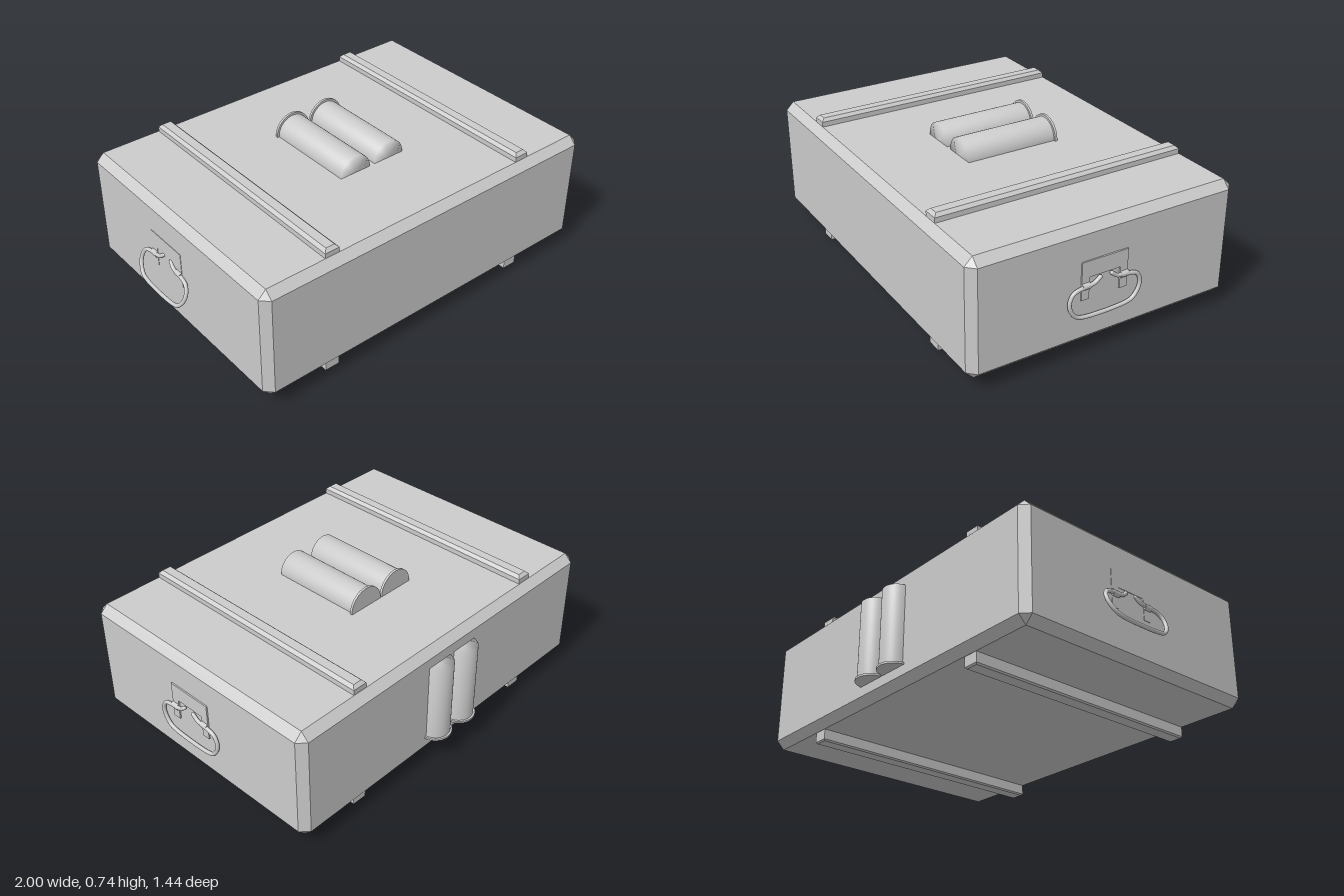
import * as THREE from 'three';
import { ConvexGeometry } from 'three/addons/geometries/ConvexGeometry.js';

const material = new THREE.MeshStandardMaterial({ color: 0xcccccc, side: THREE.DoubleSide });

function add(parent, name, geometry, x = 0, y = 0, z = 0) {
  const mesh = new THREE.Mesh(geometry, material);
  mesh.name = name;
  mesh.position.set(x, y, z);
  parent.add(mesh);
  return mesh;
}

// Box with all twelve edges chamfered by c
function chamferedBox(w, h, d, c) {
  const points = [];
  for (const sx of [-1, 1]) for (const sy of [-1, 1]) for (const sz of [-1, 1]) {
    const x = w / 2, y = h / 2, z = d / 2;
    points.push(
      new THREE.Vector3(sx * x, sy * (y - c), sz * (z - c)),
      new THREE.Vector3(sx * (x - c), sy * y, sz * (z - c)),
      new THREE.Vector3(sx * (x - c), sy * (y - c), sz * z));
  }
  return new ConvexGeometry(points);
}

// Bar standing on y = 0 whose upper rim is chamfered by c
function battenGeometry(w, h, d, c) {
  const points = [];
  for (const [y, inset] of [[0, 0], [h - c, 0], [h, c]])
    for (const sx of [-1, 1]) for (const sz of [-1, 1])
      points.push(new THREE.Vector3(sx * (w / 2 - inset), y, sz * (d / 2 - inset)));
  return new ConvexGeometry(points);
}

// Two half-sunk tubes side by side, each with a thin rim at its -z end
function tubePair(name) {
  const group = new THREE.Group();
  group.name = name;
  const r = 0.086;
  const profile = [[0, -0.275], [r, -0.275], [r, 0.2]].map(p => new THREE.Vector2(...p));
  for (const x of [-0.101, 0.101]) {
    add(group, 'tube', new THREE.LatheGeometry(profile, 40).rotateX(-Math.PI / 2), x);
    add(group, 'tubeRim', new THREE.CylinderGeometry(0.097, 0.097, 0.012, 40).rotateX(Math.PI / 2), x, 0, -0.2);
  }
  return group;
}

// Mounting plate with two legs clasping an open wire loop; +x points outward
function handle(name, tilt) {
  const group = new THREE.Group();
  group.name = name;
  add(group, 'handlePlate', new THREE.BoxGeometry(0.014, 0.08, 0.24), 0, 0.433, 0);
  for (const z of [-0.1, 0.1]) {
    add(group, 'plateLeg', new THREE.BoxGeometry(0.014, 0.11, 0.04), 0, 0.342, z);
    add(group, 'knuckle', new THREE.CylinderGeometry(0.015, 0.015, 0.04, 20).rotateX(Math.PI / 2), 0.008, 0.355, z);
  }
  // Loop outline as [z, y] about the hinge line, mirrored for the other half
  const half = [[0.03, 0.029], [0.06, 0.007], [0.115, 0], [0.165, -0.015], [0.184, -0.05],
    [0.18, -0.09], [0.15, -0.133], [0.11, -0.147]];
  const outline = [...half, ...half.map(([z, y]) => [-z, y]).reverse()];
  const curve = new THREE.CatmullRomCurve3(outline.map(([z, y]) => new THREE.Vector3(0, y, z)));
  const loop = add(group, 'handleLoop', new THREE.TubeGeometry(curve, 100, 0.0095, 12, false), 0.014, 0.355, 0);
  loop.rotation.z = tilt;
  for (const s of [-1, 1])
    add(loop, 'loopEnd', new THREE.SphereGeometry(0.0095, 12, 8), 0, 0.029, s * 0.03);
  return group;
}

export function createModel() {
  const model = new THREE.Group();
  model.name = 'crate';

  // Case body
  add(model, 'caseBody', chamferedBox(1.909, 0.583, 1.37, 0.039), 0.0185, 0.3485, 0.037);

  // Battens on the lid and under the floor
  for (const x of [-0.553, 0.59]) {
    add(model, 'lidBatten', battenGeometry(0.076, 0.05, 1.29, 0.015), x, 0.63, 0.038);
    const foot = add(model, 'footBatten', battenGeometry(0.076, 0.07, 1.29, 0.007), x, 0.07, 0.038);
    foot.rotation.x = Math.PI;
  }

  // Tubes on the lid, and a smaller upright pair on the back
  const lidTubes = tubePair('lidTubes');
  lidTubes.position.set(0.019, 0.644, 0);
  const backTubes = tubePair('backTubes');
  backTubes.scale.setScalar(0.842);
  backTubes.rotation.x = -Math.PI / 2;
  backTubes.position.set(0.0275, 0.318, -0.64);
  model.add(lidTubes, backTubes);

  // Carrying handles
  const leftHandle = handle('leftHandle', 0);
  leftHandle.position.set(0.973, 0, 0.062);
  const rightHandle = handle('rightHandle', 0.33);
  rightHandle.rotation.y = Math.PI;
  rightHandle.position.set(-0.931, 0, -0.025);
  model.add(leftHandle, rightHandle);

  return model;
}
